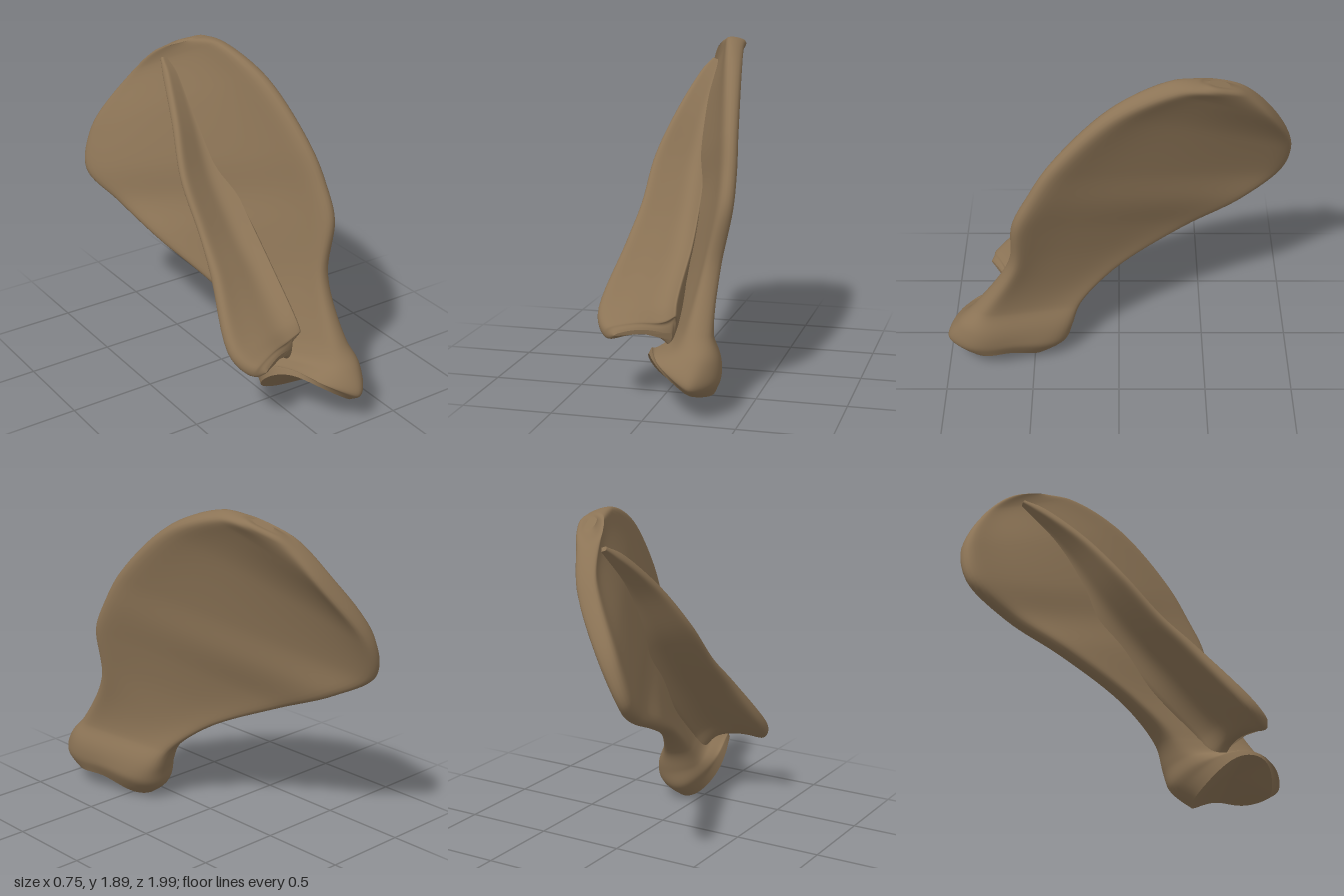
import * as THREE from 'three';

const { lerp, smoothstep } = THREE.MathUtils;
const curve = (...points) => new THREE.CatmullRomCurve3(points.map((p) => new THREE.Vector3(...p)));

// Lofts a closed skin between two border curves. rule(t) gives the half thickness
// at border a, mid-chord and border b, the edge roundness and the arch of the chord.
function loft(borderA, borderB, rule, steps, side, dent) {
  const mid = (t) => borderA.getPoint(t).add(borderB.getPoint(t)).multiplyScalar(0.5);
  const n = side * 2;
  const pos = [];
  const idx = [];
  for (let i = 0; i <= steps; i++) {
    const t = i / steps;
    const a = borderA.getPoint(t);
    const b = borderB.getPoint(t);
    const r = rule(t);
    const dir = mid(Math.min(1, t + 0.03)).sub(mid(Math.max(0, t - 0.03)));
    const normal = b.clone().sub(a).cross(dir).normalize();
    for (let j = 0; j < n; j++) {
      const angle = (j / n) * Math.PI * 2;
      const u = -Math.cos(angle);
      const h = lerp(r.mid, u < 0 ? r.a : r.b, u ** 4)
        * Math.sqrt(Math.max(0, 1 - Math.abs(u) ** (u < 0 ? r.round : r.roundB)));
      const q = a.clone().lerp(b, (u + 1) / 2).addScaledVector(normal, j <= side ? h : -h);
      q.y += r.arch * Math.sin(Math.PI * (u + 1) / 2);
      pos.push(...q);
    }
  }
  const id = (i, j) => i * n + (j % n);
  for (let i = 0; i < steps; i++) {
    for (let j = 0; j < n; j++) {
      idx.push(id(i, j), id(i, j + 1), id(i + 1, j + 1));
      idx.push(id(i, j), id(i + 1, j + 1), id(i + 1, j));
    }
  }
  // End caps with their own crisp rims; the first can be hollowed
  const cap = (row, flip, push) => {
    const base = pos.length / 3;
    const center = new THREE.Vector3(0, push, 0);
    for (let j = 0; j < n; j++) {
      const p = new THREE.Vector3().fromArray(pos, id(row, j) * 3);
      pos.push(...p);
      center.addScaledVector(p, 1 / n);
    }
    pos.push(...center);
    for (let j = 0; j < n; j++) {
      const edge = [base + j, base + ((j + 1) % n)];
      if (flip) edge.reverse();
      idx.push(base + n, ...edge);
    }
  };
  cap(0, true, dent);
  cap(steps, false, 0);
  const g = new THREE.BufferGeometry();
  g.setAttribute('position', new THREE.Float32BufferAttribute(pos, 3));
  g.setIndex(idx);
  g.computeVertexNormals();
  return g;
}

// Thick socket and neck, thin web with a raised rim, rounded top
function bladeRule(t) {
  const neck = 1 - smoothstep(t, 0.045, 0.41);
  const back = smoothstep(t, 0.6, 0.8);
  const top = smoothstep(t, 0.73, 0.93);
  const taper = Math.sqrt(1 - 0.85 * smoothstep(t, 0.92, 1));
  const round = 3 + 14 * (1 - neck) * (1 - top);
  return {
    a: (0.057 + 0.043 * neck + 0.015 * back) * taper,
    mid: (0.032 + 0.165 * neck + 0.04 * top) * taper,
    b: (0.055 + 0.12 * neck + 0.025 * back) * taper,
    round,
    roundB: round,
    arch: 0.11 * neck ** 4,
  };
}

// Knob at the lower tip, thin crest, widely flared root
function ridgeRule(t) {
  const knob = 1 - smoothstep(t, 0.2, 0.5);
  const taper = Math.sqrt(Math.min(1, 0.03 + t / 0.14)) * (1 - 0.5 * smoothstep(t, 0.85, 1));
  return {
    a: (0.03 + 0.04 * knob) * taper,
    mid: (0.026 + 0.014 * knob) * taper,
    b: 0.15 * taper,
    round: 8 - 3 * knob,
    roundB: 40,
    arch: 0.03 * knob,
  };
}

export function createModel() {
  const bone = new THREE.MeshStandardMaterial({ color: 0x8c7456 });
  bone.name = 'brown bone';
  const group = new THREE.Group();
  group.name = 'shoulderBlade';
  const add = (name, geometry) => {
    const mesh = new THREE.Mesh(geometry, bone);
    mesh.name = name;
    group.add(mesh);
  };

  // Socket, neck and fan-shaped blade, between the front and rear borders
  const frontBorder = curve(
    [0.23, 0.13, 0.94], [0.25, 0.18, 1], [0.28, 0.3, 0.93], [0.27, 0.42, 0.82],
    [0.29, 0.74, 0.62], [0.355, 1.06, 0.585], [0.355, 1.24, 0.5], [0.335, 1.43, 0.38],
    [0.27, 1.74, 0.05], [0.205, 1.865, -0.27], [0.18, 1.865, -0.42], [0.14, 1.85, -0.48]);
  const rearBorder = curve(
    [0.03, 0.01, 0.42], [0.06, 0.09, 0.31], [0.07, 0.2, 0.28], [0.05, 0.33, 0.23],
    [-0.03, 0.5, 0.03], [-0.19, 0.7, -0.4], [-0.265, 0.835, -0.72], [-0.345, 0.98, -0.945],
    [-0.27, 1.21, -0.985], [-0.05, 1.55, -0.85], [0.03, 1.73, -0.71], [0.1, 1.81, -0.59]);
  add('blade', loft(frontBorder, rearBorder, bladeRule, 88, 28, 0.07));

  // Ridge standing on the outer face, between its crest and its root
  const crest = curve(
    [-0.22, 0.37, 0.77], [-0.29, 0.37, 0.74], [-0.355, 0.45, 0.63], [-0.28, 0.79, 0.33],
    [-0.245, 0.97, 0.15], [-0.225, 1.21, -0.06], [-0.145, 1.46, -0.27], [-0.06, 1.66, -0.5],
    [-0.02, 1.72, -0.6]);
  const root = curve(
    [0.06, 0.34, 0.62], [0.07, 0.36, 0.59], [0.08, 0.45, 0.53], [0.07, 0.7, 0.25],
    [0.06, 0.88, 0.07], [0.045, 1.12, -0.14], [0.05, 1.4, -0.33], [0.06, 1.62, -0.52],
    [0.06, 1.69, -0.6]);
  add('spineRidge', loft(crest, root, ridgeRule, 54, 24, 0));

  return group;
}
